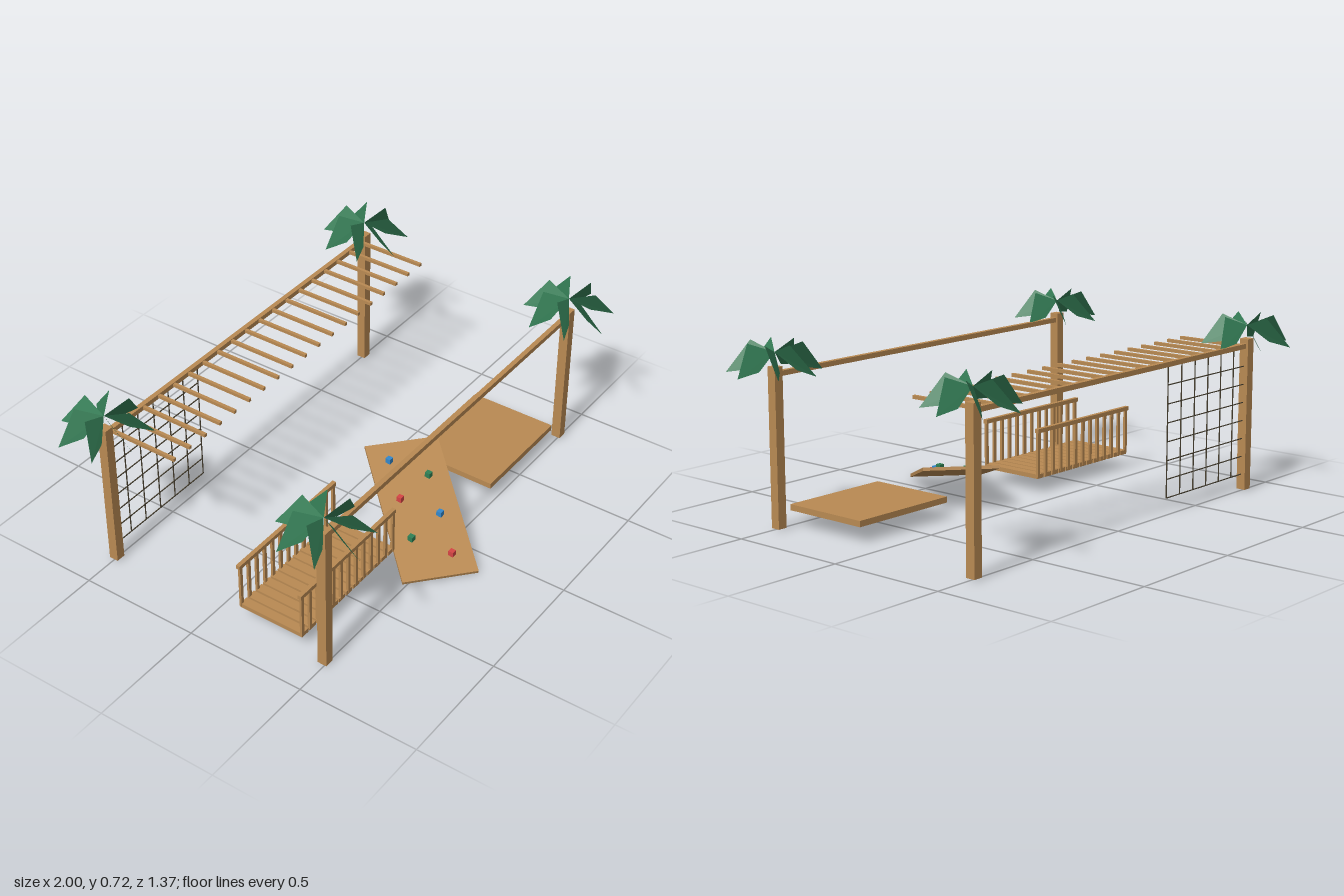
import * as THREE from 'three';

const mat = (name, color, extra = {}) => {
  const m = new THREE.MeshStandardMaterial({ color, ...extra });
  m.name = name;
  return m;
};

export function createModel() {
  const model = new THREE.Group();
  model.name = 'playground';
  const wood = mat('wood', 0xb98a53);
  const leafGreen = mat('leafGreen', 0x347c55, { side: THREE.DoubleSide, flatShading: true });
  const rope = mat('rope', 0x4a4232);
  const red = mat('redHold', 0xd64545);
  const blue = mat('blueHold', 0x3388cc);
  const green = mat('greenHold', 0x2f8055);

  const group = (name, parent = model) => {
    const g = new THREE.Group();
    g.name = name;
    parent.add(g);
    return g;
  };
  // Box given by its centre and size
  const box = (name, parent, m, [x, y, z], [w, h, d]) => {
    const mesh = new THREE.Mesh(new THREE.BoxGeometry(w, h, d), m);
    mesh.name = name;
    mesh.position.set(x, y, z);
    parent.add(mesh);
    return mesh;
  };

  const X0 = -0.836, X1 = 0.816, ZF = 0.492, ZB = -0.5;

  // One flat leaf, twisted like a propeller blade: one edge high, the other low
  const base = [0, 0.685, 0], tip = [0.185, 0.608, 0];
  const high = [0.097, 0.725, 0.041], low = [0.09, 0.622, -0.012];
  const leafGeo = new THREE.BufferGeometry();
  leafGeo.setAttribute('position', new THREE.Float32BufferAttribute([
    base, high, tip, base, tip, low].flat(), 3));
  leafGeo.computeVertexNormals();

  // Posts crowned with seven leaves
  for (const x of [X0, X1]) for (const z of [ZF, ZB]) {
    const palm = group('palmPost');
    palm.position.set(x, 0, z);
    box('post', palm, wood, [0, 0.319, 0], [0.039, 0.624, 0.039]);
    for (let i = 0; i < 7; i++) {
      const leaf = new THREE.Mesh(leafGeo, leafGreen);
      leaf.name = 'leaf';
      leaf.rotation.y = (i / 7) * Math.PI * 2;
      palm.add(leaf);
    }
  }

  // Top beams
  for (const z of [ZF, ZB]) {
    box('beam', model, wood, [(X0 + X1) / 2, 0.602, z], [X1 - X0, 0.02, 0.02]);
  }

  // Monkey bars reaching forward from the rear beam
  const bars = group('monkeyBars');
  for (let i = 0; i < 19; i++) {
    box('rung', bars, wood, [-0.807 + i * 0.0886, 0.603, -0.347], [0.013, 0.013, 0.306]);
  }

  // Climbing net under the rear beam
  const net = group('climbingNet');
  for (let i = 0; i < 7; i++) {
    box('netVertical', net, rope, [X0 + 0.003 + i * 0.0882, 0.332, ZB], [0.0035, 0.524, 0.0035]);
  }
  for (let i = 0; i < 8; i++) {
    box('netHorizontal', net, rope, [-0.57, 0.594 - i * 0.0748, ZB], [0.53, 0.0035, 0.0035]);
  }

  // Slatted bridge with two railings
  const bridge = group('bridge');
  for (let i = 0; i < 13; i++) {
    box('slat', bridge, wood, [-0.812 + i * 0.046, 0.07, 0.243], [0.038, 0.018, 0.285]);
  }
  for (const z of [0.104, 0.382]) {
    box('rail', bridge, wood, [-0.539, 0.26, z], [0.6, 0.017, 0.017]);
    for (let i = 0; i < 13; i++) {
      box('baluster', bridge, wood, [-0.826 + i * 0.0482, 0.162, z], [0.014, 0.19, 0.01]);
    }
  }

  // Low platform
  box('platform', model, wood, [0.522, 0.077, 0.303], [0.472, 0.024, 0.374]);

  // Sloping climbing board with hand holds
  const board = group('climbingBoard');
  board.position.set(-0.0085, 0.097, 0.351);
  const tilt = new THREE.Euler(0.277, -0.727, 0, 'YXZ');
  box('board', board, wood, [0, 0, 0], [0.3, 0.013, 0.652]).rotation.copy(tilt);
  [red, green, blue, red, green, blue].forEach((m, i) => {
    const p = new THREE.Vector3(i % 2 ? -0.071 : 0.067, 0.015, 0.233 - i * 0.094).applyEuler(tilt);
    box('hold', board, m, p.toArray(), [0.022, 0.022, 0.022]);
  });

  return model;
}
